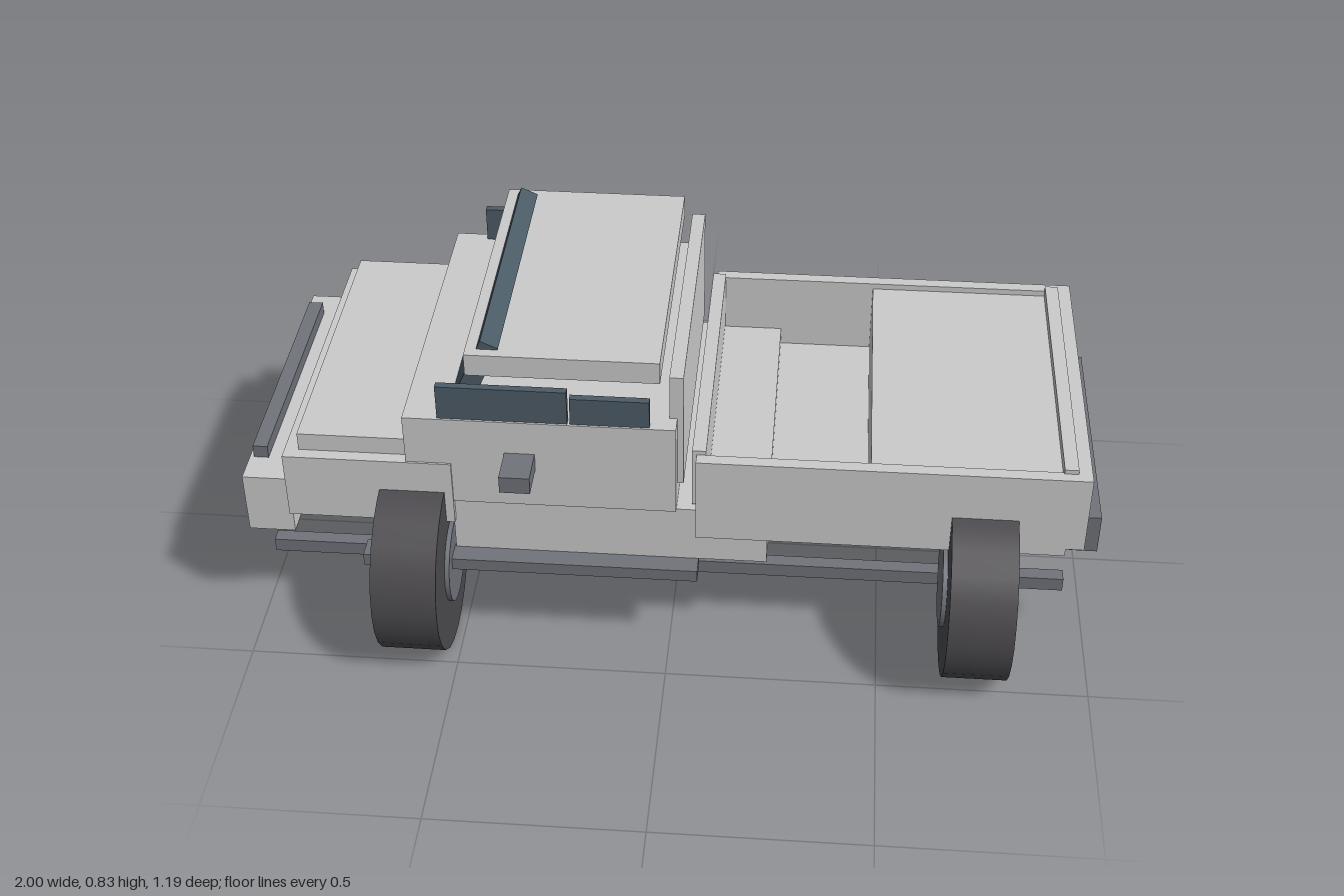
import * as THREE from 'three';

export function createModel() {
  const truck = new THREE.Group();
  truck.name = 'pickupTruck';

  const paint = new THREE.MeshStandardMaterial({ color: 0xcccccc });
  const trim = new THREE.MeshStandardMaterial({ color: 0x70737b });
  const rubber = new THREE.MeshStandardMaterial({ color: 0x4c4a4e });
  const glass = new THREE.MeshStandardMaterial({ color: 0x4c5c68 });

  // Box given by its limits on each axis
  function box(name, material, [x0, x1], [y0, y1], [z0, z1]) {
    const mesh = new THREE.Mesh(new THREE.BoxGeometry(x1 - x0, y1 - y0, z1 - z0), material);
    mesh.position.set((x0 + x1) / 2, (y0 + y1) / 2, (z0 + z1) / 2);
    mesh.name = name;
    truck.add(mesh);
    return mesh;
  }
  // Box centred on z = 0
  const wide = (name, material, x, y, half) => box(name, material, x, y, [-half, half]);
  // Pair of boxes mirrored across z = 0
  function pair(name, material, x, y, [z0, z1]) {
    box(name + 'Near', material, x, y, [z0, z1]);
    box(name + 'Far', material, x, y, [-z1, -z0]);
  }

  // Nose and hood
  wide('frontBumper', paint, [-1, -0.89], [0.29, 0.445], 0.383);
  wide('bumperBar', trim, [-0.99, -0.955], [0.445, 0.477], 0.305);
  wide('engineBay', paint, [-0.893, -0.5], [0.355, 0.525], 0.4);
  wide('hood', paint, [-0.86, -0.6], [0.525, 0.57], 0.37);

  // Cab
  wide('cabBody', paint, [-0.605, 0.018], [0.415, 0.65], 0.395);
  wide('floorPan', paint, [-0.505, 0.23], [0.268, 0.415], 0.385);
  wide('cabBackWall', paint, [0, 0.032], [0.465, 0.763], 0.35);
  wide('roof', paint, [-0.46, -0.02], [0.752, 0.807], 0.36);
  const windshield = wide('windshield', glass, [-0.476, -0.432], [0.59, 0.83], 0.335);
  windshield.rotation.z = -0.42;
  pair('frontWindow', glass, [-0.525, -0.228], [0.645, 0.737], [0.372, 0.39]);
  pair('rearWindow', glass, [-0.222, -0.042], [0.645, 0.72], [0.372, 0.39]);
  pair('mirror', trim, [-0.375, -0.305], [0.52, 0.563], [0.39, 0.485]);
  pair('runningBoard', trim, [-0.72, 0.07], [0.235, 0.266], [0.375, 0.43]);

  // Cargo bed
  pair('bedSide', paint, [0.063, 0.915], [0.345, 0.565], [0.37, 0.4]);
  wide('bedFloor', paint, [0.063, 0.915], [0.345, 0.37], 0.38);
  wide('bedHeadboard', paint, [0.053, 0.085], [0.42, 0.576], 0.37);
  wide('bedCover', paint, [0.46, 0.91], [0.36, 0.55], 0.372);
  wide('tailgate', paint, [0.91, 0.957], [0.365, 0.565], 0.4);
  wide('tailgateCap', paint, [0.893, 0.925], [0.54, 0.576], 0.375);
  wide('rearBumper', trim, [0.935, 1], [0.3, 0.4], 0.324);

  // Long bars under the body
  wide('driveShaft', trim, [-0.98, 0.94], [0.122, 0.174], 0.026);
  pair('frameRail', trim, [-0.98, 0.94], [0.131, 0.166], [0.241, 0.276]);

  // Wheels, with their axes running along x
  const tireGeometry = new THREE.CylinderGeometry(0.223, 0.223, 0.152, 24).rotateZ(Math.PI / 2);
  const hubGeometry = new THREE.CylinderGeometry(0.106, 0.106, 0.174, 24).rotateZ(Math.PI / 2);
  for (const [end, x] of [['front', -0.596], ['rear', 0.726]]) {
    for (const side of [-1, 1]) {
      const wheel = new THREE.Group();
      wheel.name = end + 'Wheel';
      const tire = new THREE.Mesh(tireGeometry, rubber);
      tire.name = 'tire';
      const hub = new THREE.Mesh(hubGeometry, trim);
      hub.name = 'hub';
      wheel.add(tire, hub);
      wheel.position.set(x, 0.223, side * 0.371);
      truck.add(wheel);
    }
  }

  return truck;
}
